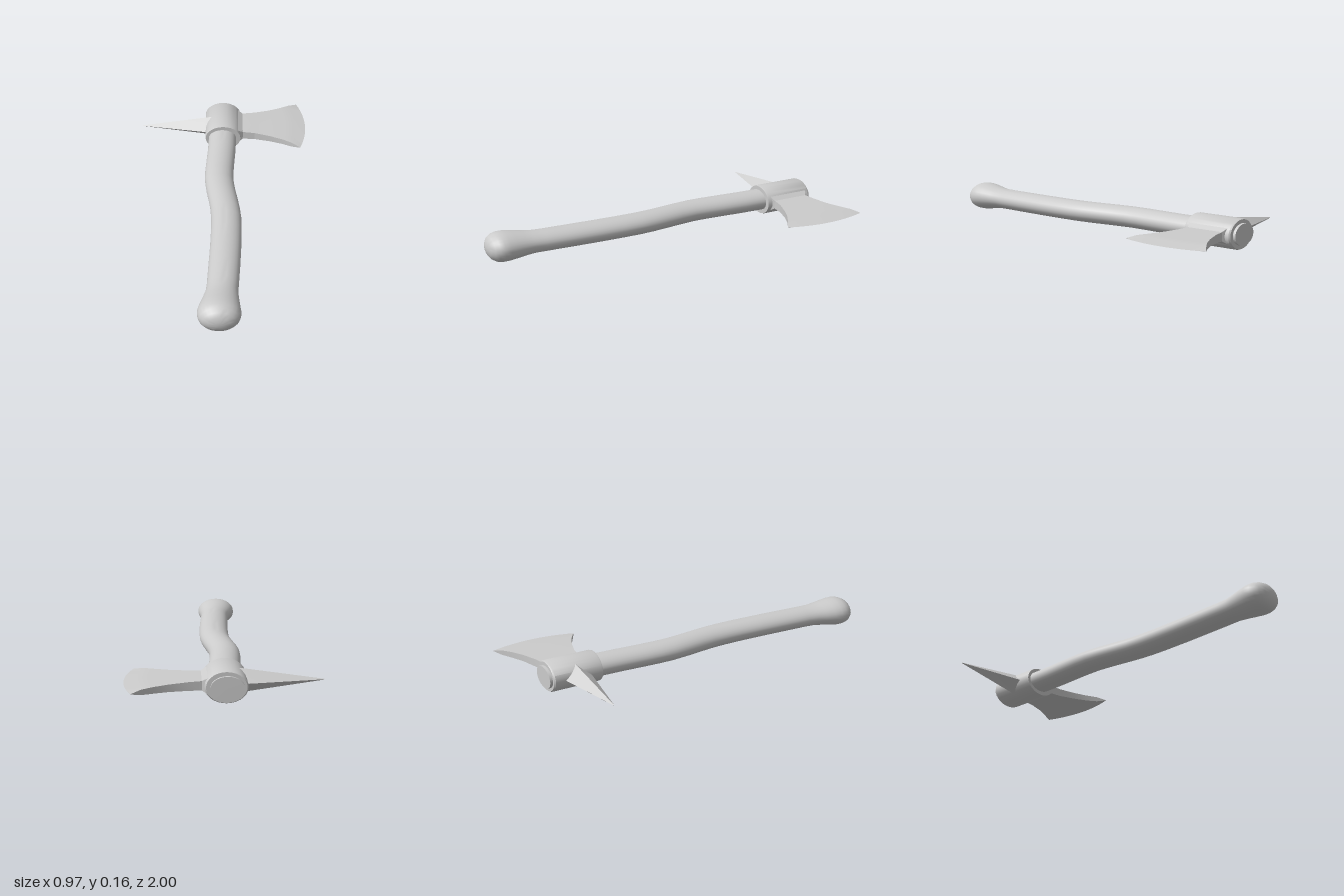
import * as THREE from 'three';
import { toCreasedNormals } from 'three/addons/utils/BufferGeometryUtils.js';

const MID_Y = 0.083;   // height of the lying axe's centre plane
const HEAD_Z = -0.764; // centre of the head along the handle

// Skin a list of equal-length rings (counter-clockwise about the travel axis), capping both ends
function loft(name, rings, crease) {
  const n = rings[0].length, pos = [], idx = [];
  const centre = ring => ring.reduce((s, p) => s.add(p), new THREE.Vector3()).divideScalar(n);
  rings.forEach(ring => ring.forEach(p => pos.push(p.x, p.y, p.z)));
  for (let i = 0; i < rings.length - 1; i++) {
    for (let j = 0; j < n; j++) {
      const k = (j + 1) % n, a = i * n, b = a + n;
      idx.push(a + j, a + k, b + k, a + j, b + k, b + j);
    }
  }
  const last = (rings.length - 1) * n, c0 = rings.length * n;
  pos.push(...centre(rings[0]).toArray(), ...centre(rings[rings.length - 1]).toArray());
  for (let j = 0; j < n; j++) {
    const k = (j + 1) % n;
    idx.push(c0, k, j, c0 + 1, last + j, last + k);
  }
  const geo = new THREE.BufferGeometry();
  geo.setAttribute('position', new THREE.Float32BufferAttribute(pos, 3));
  geo.setIndex(idx);
  const mesh = new THREE.Mesh(toCreasedNormals(geo, crease), new THREE.MeshStandardMaterial({ color: 0xcccccc }));
  mesh.name = name;
  return mesh;
}

// Elliptical ring facing +z
function ellipse(z, cx, rx, ry, sides = 28) {
  return Array.from({ length: sides }, (_, i) => {
    const a = i / sides * Math.PI * 2;
    return new THREE.Vector3(cx + rx * Math.cos(a), MID_Y + ry * Math.sin(a), z);
  });
}

// Wavy wooden handle ending in a rounded knob: z, centre x, half width, half height
function makeHandle() {
  const rows = [
    [-0.915, -0.01, 0.081, 0.056], [-0.62, -0.01, 0.08, 0.056], [-0.5, -0.014, 0.08, 0.056],
    [-0.36, -0.023, 0.08, 0.056], [-0.27, -0.028, 0.08, 0.056], [-0.19, -0.028, 0.08, 0.056],
    [-0.1, -0.019, 0.08, 0.056], [0, -0.005, 0.08, 0.056], [0.08, 0.005, 0.08, 0.056],
    [0.16, 0.01, 0.081, 0.056], [0.26, 0.01, 0.081, 0.056], [0.4, 0.006, 0.081, 0.056],
    [0.55, -0.001, 0.081, 0.056], [0.7, -0.009, 0.08, 0.056], [0.76, -0.014, 0.081, 0.057],
    [0.81, -0.019, 0.09, 0.063], [0.86, -0.024, 0.1, 0.071], [0.9, -0.027, 0.107, 0.076],
    [0.93, -0.027, 0.107, 0.076], [0.957, -0.027, 0.099, 0.07], [0.978, -0.027, 0.082, 0.058],
    [0.993, -0.027, 0.054, 0.038], [1, -0.027, 0.02, 0.014],
  ];
  return loft('handle', rows.map(r => ellipse(...r)), 0.9);
}

// Oval socket gripping the handle, with slightly chamfered rims
function makeSocket() {
  const rows = [[-0.9, 0.098, 0.075], [-0.892, 0.104, 0.079], [-0.634, 0.104, 0.079], [-0.626, 0.102, 0.077]];
  return loft('socket', rows.map(([z, rx, ry]) => ellipse(z, -0.006, rx, ry)), 0.6);
}

// Flared blade: x, back z, front z, half thickness, bow of the section
function makeBlade() {
  const rows = [
    [0.045, -0.885, -0.638, 0.066, 0], [0.08, -0.88, -0.643, 0.042, 0], [0.11, -0.862, -0.657, 0.023, 0],
    [0.18, -0.875, -0.648, 0.021, 0.002], [0.27, -0.903, -0.619, 0.018, 0.01],
    [0.34, -0.936, -0.588, 0.016, 0.02], [0.395, -0.969, -0.555, 0.013, 0.022],
    [0.442, -1, -0.525, 0.001, 0.041],
  ];
  const steps = 14;
  const rings = rows.map(([x, z0, z1, h, bow]) => {
    const side = sign => Array.from({ length: steps + 1 }, (_, i) => {
      const s = (2 * i / steps - 1) * sign;
      return new THREE.Vector3(x + bow * (1 - s * s), MID_Y + sign * h, (z0 + z1) / 2 + s * (z1 - z0) / 2);
    });
    return [...side(1), ...side(-1)];
  });
  return loft('blade', rings, 0.18);
}

// Four-sided diamond spike: x, half depth, half height
function makeSpike() {
  const rows = [[-0.05, 0.083, 0.064], [-0.11, 0.072, 0.056], [-0.485, 0.002, 0.002]];
  const rings = rows.map(([x, rz, ry]) => [0, 1, 2, 3].map(i => {
    const a = i * Math.PI / 2;
    return new THREE.Vector3(x, MID_Y + ry * Math.sin(a), HEAD_Z + rz * Math.cos(a));
  }));
  return loft('spike', rings, 0.3);
}

export function createModel() {
  const axe = new THREE.Group();
  axe.name = 'axe';
  const head = new THREE.Group();
  head.name = 'head';
  head.add(makeSocket(), makeBlade(), makeSpike());
  axe.add(makeHandle(), head);
  return axe;
}
